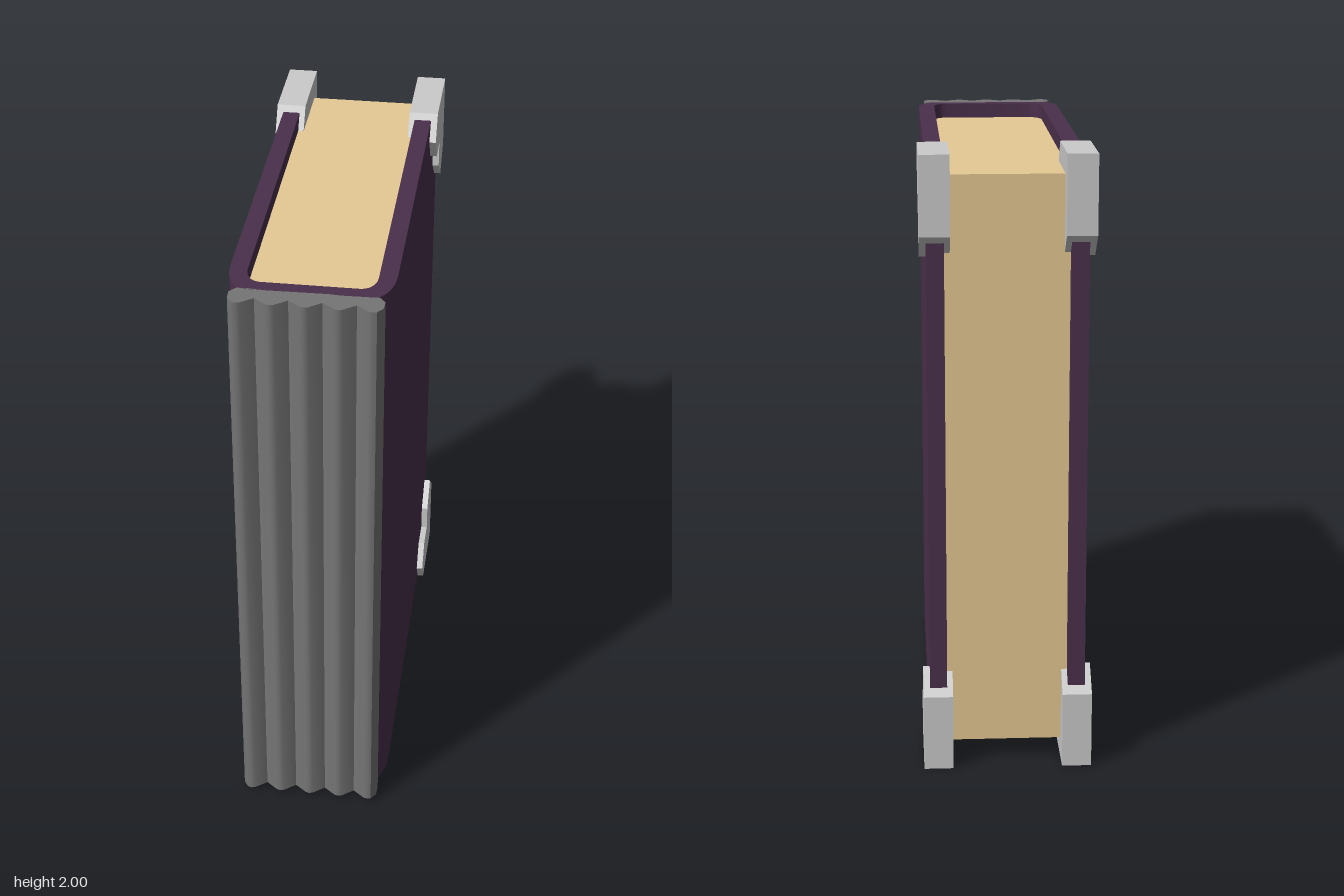
import * as THREE from 'three';
import { toCreasedNormals } from 'three/addons/utils/BufferGeometryUtils.js';

const leather = new THREE.MeshStandardMaterial({ color: 0x4b304c });
const paper = new THREE.MeshStandardMaterial({ color: 0xe6ca94 });
const spineGrey = new THREE.MeshStandardMaterial({ color: 0x757575 });
const metal = new THREE.MeshStandardMaterial({ color: 0xcccccc });

// Plan outline (width, thickness) raised from height y0 to y1.
function raise(name, shape, y0, y1, material) {
  const solid = new THREE.ExtrudeGeometry(shape, { depth: y1 - y0, bevelEnabled: false, curveSegments: 5 });
  solid.rotateX(-Math.PI / 2).translate(0, y0, 0);
  const mesh = new THREE.Mesh(toCreasedNormals(solid, 0.6), material);
  mesh.name = name;
  return mesh;
}

// Outline of the rounded spine end: along one side, round the spine, back along the other.
function roundedEnd(path, back, half, rx, ry) {
  path.lineTo(back + rx, half);
  path.bezierCurveTo(back + rx * 0.45, half, back, half - ry * 0.45, back, half - ry);
  path.lineTo(back, -half + ry);
  path.bezierCurveTo(back, -half + ry * 0.45, back + rx * 0.45, -half, back + rx, -half);
}

export function createModel() {
  const model = new THREE.Group();
  model.name = 'book';
  const book = new THREE.Group();
  book.name = 'bookBody';
  book.rotation.y = Math.atan2(0.6, 0.8);
  book.position.set(0.0024, 0, 0.0032);
  model.add(book);

  // Wrap-around cover, open at the fore edge
  const front = 0.7, outer = 0.25, inner = 0.195;
  const cover = new THREE.Shape();
  cover.moveTo(front, outer);
  roundedEnd(cover, -0.71, outer, 0.13, 0.06);
  cover.lineTo(front, -outer);
  cover.lineTo(front, -inner);
  cover.lineTo(-0.6, -inner);
  cover.bezierCurveTo(-0.635, -inner, -0.665, -0.175, -0.665, -0.15);
  cover.lineTo(-0.665, 0.15);
  cover.bezierCurveTo(-0.665, 0.175, -0.635, inner, -0.6, inner);
  cover.lineTo(front, inner);
  book.add(raise('cover', cover, 0.02, 1.98, leather));

  // Page block
  const pages = new THREE.Shape();
  pages.moveTo(0.657, inner);
  roundedEnd(pages, -0.665, inner, 0.065, 0.045);
  pages.lineTo(0.657, -inner);
  book.add(raise('pages', pages, 0.07, 1.93, paper));

  // Ribbed spine: five ridges
  const spine = new THREE.Shape();
  spine.moveTo(-0.705, -0.21);
  spine.lineTo(-0.73, -0.23);
  spine.lineTo(-0.765, -0.228);
  for (let i = -2; i <= 2; i++) {
    const v = i * 0.1;
    spine.lineTo(-0.786, v - 0.012);
    spine.lineTo(-0.789, v);
    spine.lineTo(-0.786, v + 0.012);
    if (i < 2) spine.lineTo(-0.757, v + 0.05);
  }
  spine.lineTo(-0.765, 0.228);
  spine.lineTo(-0.73, 0.23);
  spine.lineTo(-0.705, 0.21);
  book.add(raise('spine', spine, 0.02, 1.98, spineGrey));

  // Pointed metal corners, measured in from the top (width, drop)
  const corner = [[0.725, 0], [0.45, 0], [0.395, 0.08], [0.453, 0.16],
    [0.556, 0.16], [0.556, 0.25], [0.642, 0.325], [0.725, 0.25]];
  for (const side of [1, -1]) {
    for (const top of [true, false]) {
      const shape = new THREE.Shape(corner.map(([u, d]) => new THREE.Vector2(u, top ? 2 - d : d)));
      const plate = new THREE.ExtrudeGeometry(shape, { depth: 0.095, bevelEnabled: false });
      plate.translate(0, 0, side * 0.224 - 0.0475);
      const mesh = new THREE.Mesh(plate, metal);
      mesh.name = (side > 0 ? 'front' : 'back') + (top ? 'Top' : 'Bottom') + 'Corner';
      book.add(mesh);
    }
  }
  return model;
}
